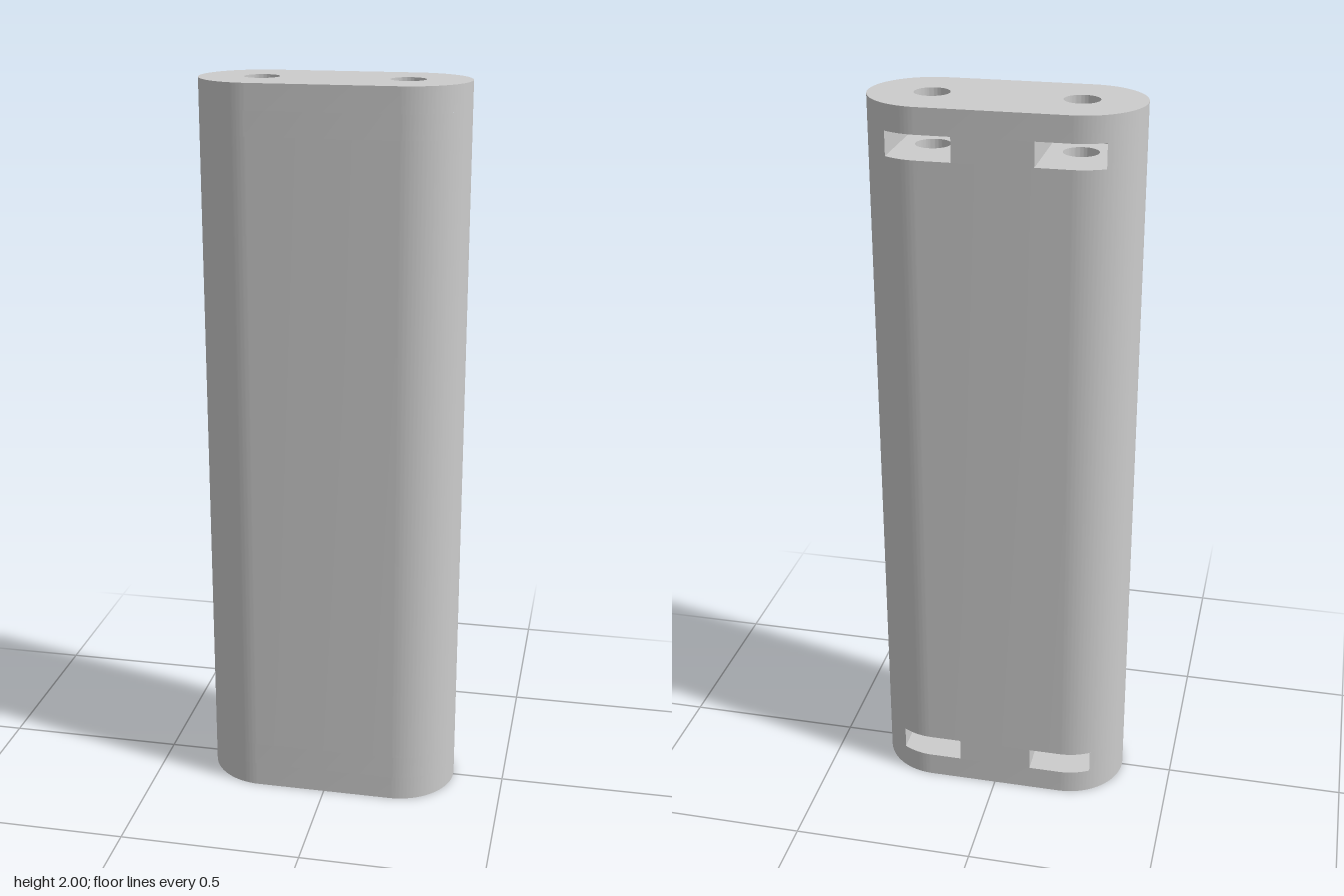
import * as THREE from 'three';
import { toCreasedNormals } from 'three/addons/utils/BufferGeometryUtils.js';

const C = 0.191;    // hole centres, +-x
const R = 0.165;    // end radius
const H = 0.0465;   // hole radius
const W = 0.087;    // slot half width
const D = 0.09;     // slot depth past the hole centre
const SLOTS = [[0.068, 0.132], [1.868, 1.932]];
const SEG = 48;
const A = Math.acos(W / R);   // where the slot's outer side meets the round end

// Plan shapes lie in x / -z, so their +y is the back.
function outlineShape() {
  const s = new THREE.Shape();
  s.moveTo(-C, -R);
  s.lineTo(C, -R);
  s.absarc(C, 0, R, -Math.PI / 2, Math.PI / 2, false);
  s.lineTo(-C, R);
  s.absarc(-C, 0, R, Math.PI / 2, Math.PI * 1.5, false);
  return s;
}

// Outline at slot height, notched from the back
function notchedShape() {
  const s = new THREE.Shape();
  s.moveTo(-C, -R);
  s.lineTo(C, -R);
  s.absarc(C, 0, R, -Math.PI / 2, A, false);
  s.lineTo(C + W, -D);
  s.lineTo(C - W, -D);
  s.lineTo(C - W, R);
  s.lineTo(-C + W, R);
  s.lineTo(-C + W, -D);
  s.lineTo(-C - W, -D);
  s.lineTo(-C - W, R * Math.sin(A));
  s.absarc(-C, 0, R, Math.PI - A, Math.PI * 1.5, false);
  return s;
}

function holePath(x) {
  return new THREE.Path().absarc(x, 0, H, 0, Math.PI * 2, true);
}

// Floor or ceiling of a slot, pierced by the bolt hole
function slotShape(side) {
  const s = new THREE.Shape();
  s.moveTo(side * (C - W), -D);
  s.lineTo(side * (C + W), -D);
  for (let i = 0; i <= 16; i++) {
    const a = A + (Math.PI / 2 - A) * i / 16;
    s.lineTo(side * (C + R * Math.cos(a)), R * Math.sin(a));
  }
  s.lineTo(side * (C - W), R);
  s.holes.push(holePath(side * C));
  return s;
}

// Upright wall along a closed path; anticlockwise paths face outward
function wall(path, y0, y1) {
  const p = path.getPoints(SEG).filter((q, i, all) => i === 0 || q.distanceTo(all[i - 1]) > 1e-5);
  if (p[0].distanceTo(p[p.length - 1]) < 1e-5) p.pop();
  const v = [];
  p.forEach((a, i) => {
    const b = p[(i + 1) % p.length];
    v.push(a.x, y0, -a.y, b.x, y0, -b.y, b.x, y1, -b.y);
    v.push(a.x, y0, -a.y, b.x, y1, -b.y, a.x, y1, -a.y);
  });
  const g = new THREE.BufferGeometry();
  g.setAttribute('position', new THREE.Float32BufferAttribute(v, 3));
  return toCreasedNormals(g, 0.5);
}

// Level face at height y, turned up or down
function plate(shape, y, up) {
  const g = new THREE.ShapeGeometry(shape, SEG);
  if (!up) g.index.array.reverse();
  g.rotateX(-Math.PI / 2).translate(0, y, 0);
  const flat = g.toNonIndexed();
  flat.computeVertexNormals();
  return flat;
}

export function createModel() {
  const group = new THREE.Group();
  const grey = new THREE.MeshStandardMaterial({ color: 0xcccccc });
  grey.name = 'light grey';
  const add = (name, geometry) => {
    const m = new THREE.Mesh(geometry, grey);
    m.name = name;
    group.add(m);
  };

  // End faces
  const end = outlineShape();
  end.holes.push(holePath(-C), holePath(C));
  add('bottomFace', plate(end, 0, false));
  add('topFace', plate(end, 2, true));

  // Solid stretches with their bolt holes
  const solids = [[0, SLOTS[0][0]], [SLOTS[0][1], SLOTS[1][0]], [SLOTS[1][1], 2]];
  for (const [y0, y1] of solids) {
    add('bodyWall', wall(outlineShape(), y0, y1));
    for (const side of [-1, 1]) add('boltHole', wall(holePath(side * C), y0, y1));
  }

  // Slotted stretches
  for (const [y0, y1] of SLOTS) {
    add('slottedWall', wall(notchedShape(), y0, y1));
    for (const side of [-1, 1]) {
      add('slotFloor', plate(slotShape(side), y0, true));
      add('slotCeiling', plate(slotShape(side), y1, false));
    }
  }
  return group;
}
